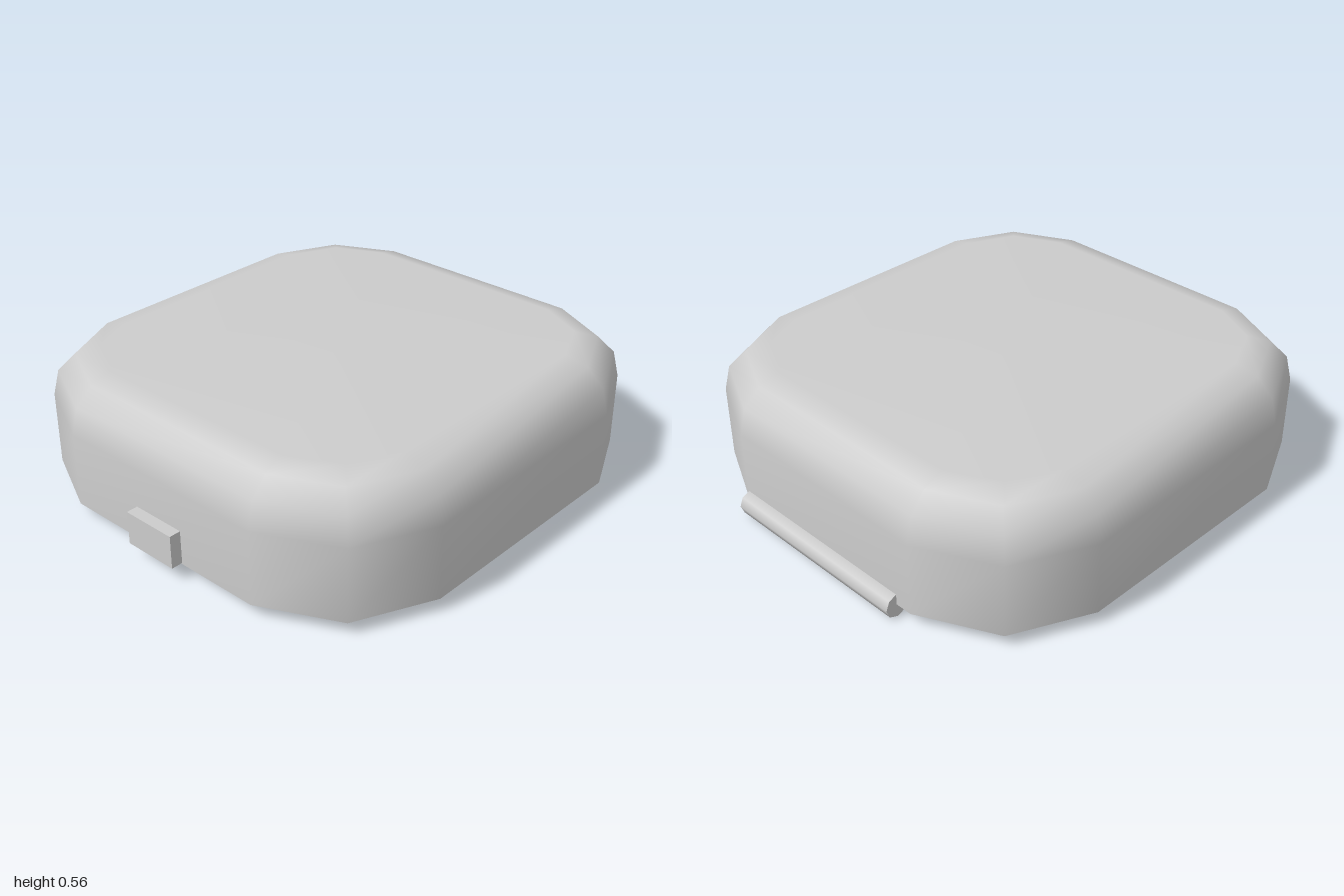
import * as THREE from 'three';

const BASE = 0.055;
// One quarter of the chamfered outline: x, z and the inward direction of each corner
const QUARTER = [
  [0.913, 0.495, 1, 0.1],
  [0.768, 0.805, 0.72, 0.72],
  [0.46, 0.953, 0.1, 1],
];
// Wall profile: height and inset from the outline
const PROFILE = [[BASE, 0], [0.355, 0], [0.46, 0.025], [0.53, 0.095], [0.555, 0.19]];
const WALL = 0.012;

// Full 12-corner outline at a height, shrunk by an inset
function ring(y, inset) {
  const q = QUARTER.map(([x, z, nx, nz]) => [x - nx * inset, z - nz * inset]);
  const r = [...q].reverse();
  return [
    ...q,
    ...r.map(([x, z]) => [-x, z]),
    ...q.map(([x, z]) => [-x, -z]),
    ...r.map(([x, z]) => [x, -z]),
  ].map(([x, z]) => [x, y, z]);
}

// Skin a stack of rings, optionally closing the last one, or turning it inside out
function skin(rings, { cap = false, flip = false } = {}) {
  const n = rings[0].length;
  const pos = rings.flat(2);
  const index = [];
  const tri = (a, b, c) => index.push(...(flip ? [a, c, b] : [a, b, c]));
  for (let k = 0; k < rings.length - 1; k++) {
    for (let i = 0; i < n; i++) {
      const a = k * n + i, an = k * n + (i + 1) % n;
      tri(a, a + n, an);
      tri(an, a + n, an + n);
    }
  }
  if (cap) {
    const c = rings.length * n, last = c - n;
    pos.push(0, rings.at(-1)[0][1], 0);
    for (let i = 0; i < n; i++) tri(c, last + (i + 1) % n, last + i);
  }
  const g = new THREE.BufferGeometry();
  g.setAttribute('position', new THREE.Float32BufferAttribute(pos, 3));
  g.setIndex(index);
  g.computeVertexNormals();
  return g;
}

export function createModel() {
  const model = new THREE.Group();
  model.name = 'caseLid';
  const grey = new THREE.MeshStandardMaterial({ color: 0xcccccc });
  grey.name = 'grey';

  const add = (name, geometry) => {
    const mesh = new THREE.Mesh(geometry, grey);
    mesh.name = name;
    model.add(mesh);
    return mesh;
  };

  // Hollow lid: outer skin, inner skin and the thin rim joining them
  const outer = PROFILE.map(([y, inset]) => ring(y, inset));
  const inner = PROFILE.map(([y, inset], i) => ring(i ? y - WALL : y, inset + WALL));
  add('lidOuter', skin(outer, { cap: true }));
  add('lidInner', skin(inner, { cap: true, flip: true }));
  add('lidRim', skin([inner[0], outer[0]]));

  // Clasp tab on the front
  add('claspTab', new THREE.BoxGeometry(0.23, 0.135, 0.055)).position.set(0, 0.128, 0.9725);

  // Hinge barrel along the back edge
  const barrel = new THREE.CylinderGeometry(0.05, 0.05, 0.846, 8).rotateZ(Math.PI / 2);
  add('hingeBarrel', barrel).position.set(0.033, 0.05, -0.95);

  return model;
}
